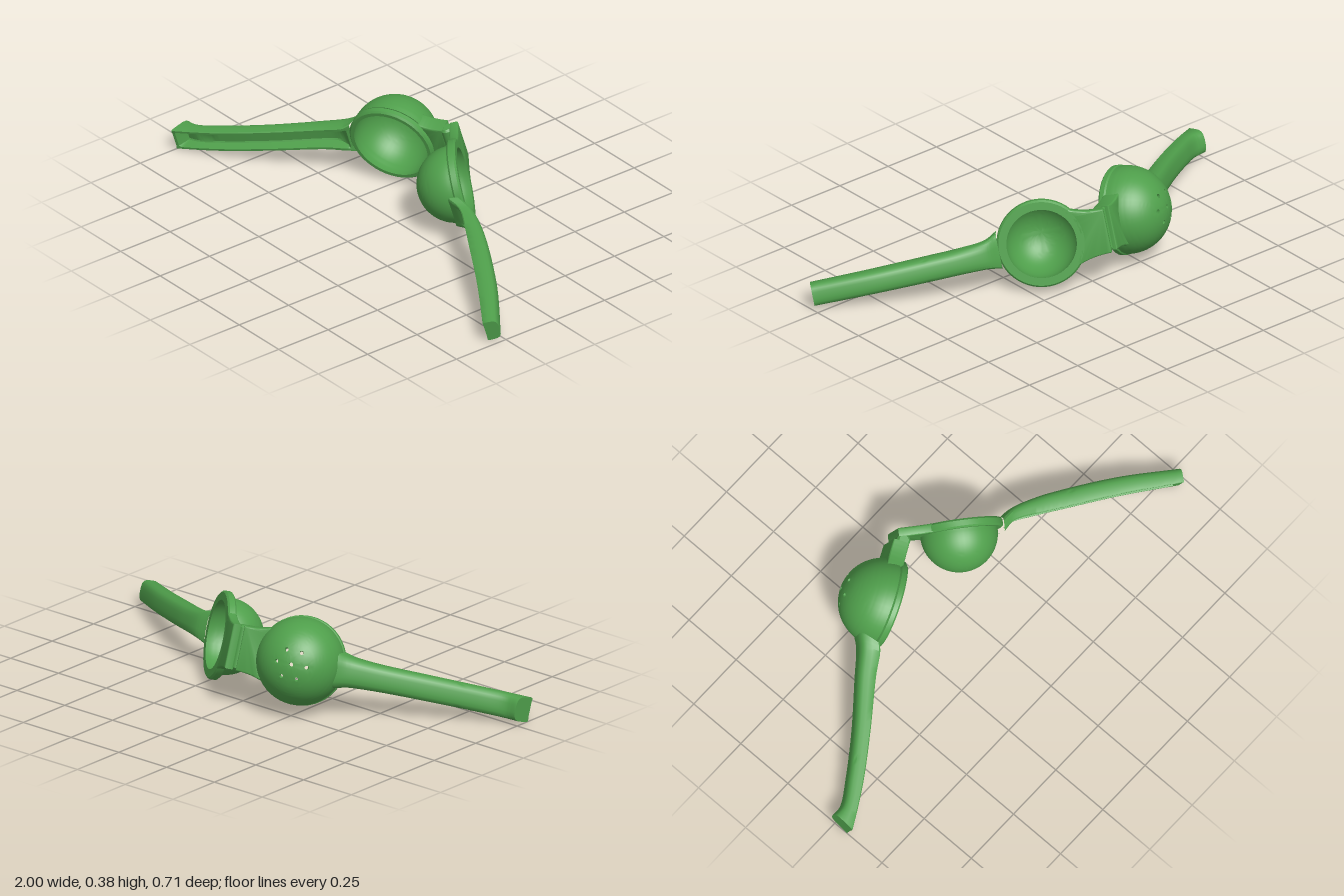
import * as THREE from 'three';
import { mergeGeometries, toCreasedNormals } from 'three/addons/utils/BufferGeometryUtils.js';

const green = new THREE.MeshStandardMaterial({ color: 0x4f9f4b });
green.name = 'green enamel';

function part(name, geometry, parent) {
  const m = new THREE.Mesh(geometry, green);
  m.name = name;
  parent.add(m);
  return m;
}

function surface(positions, index) {
  const g = new THREE.BufferGeometry();
  g.setAttribute('position', new THREE.Float32BufferAttribute(positions, 3));
  g.setIndex(index);
  return g.toNonIndexed();
}

// Double-walled bowl opening towards +z, with a flat lip; 'cap' leaves the pole open
function bowlGeometry(ro, ri, lipR, lipBottom, lipTop, cap) {
  const pts = [];
  const arc = (r, from, to) => {
    for (let i = 0; i <= 24; i++) {
      const a = from + (to - from) * i / 24;
      pts.push(new THREE.Vector2(r * Math.sin(a), -r * Math.cos(a)));
    }
  };
  arc(ro, cap, Math.PI / 2 + Math.asin(lipBottom / ro));
  const b = 0.007;
  for (const [r, y] of [[lipR - b, lipBottom], [lipR, lipBottom + b], [lipR, lipTop - b], [lipR - b, lipTop]])
    pts.push(new THREE.Vector2(r, y));
  arc(ri, Math.PI / 2 + Math.asin(lipTop / ri), cap);
  const g = new THREE.LatheGeometry(pts, 48).rotateX(Math.PI / 2).toNonIndexed();
  g.deleteAttribute('uv');
  g.deleteAttribute('normal');
  return g;
}

// One piece of the dome pole around a round drain hole
function drainCell(boundary, cx, cy, holeR, ro, ri) {
  const pos = [], idx = [], n = boundary.length;
  const rows = [[0, ro], [0.5, ro], [1, ro], [1, ri], [0.5, ri], [0, ri]];
  rows.forEach(([v, radius], k) => boundary.forEach(([bx, by], i) => {
    const d = Math.hypot(bx - cx, by - cy);
    const s = 1 + (holeR / d - 1) * v;
    const x = cx + (bx - cx) * s, y = cy + (by - cy) * s;
    const phi = Math.hypot(x, y) / ro, a = Math.atan2(y, x);
    pos.push(radius * Math.sin(phi) * Math.cos(a), radius * Math.sin(phi) * Math.sin(a), -radius * Math.cos(phi));
    if (k < rows.length - 1) {
      const j = (i + 1) % n, p = k * n + i, q = k * n + j;
      idx.push(p, p + n, q, q, p + n, q + n);
    }
  }));
  return surface(pos, idx);
}

// Centre hole plus a ring of six
function drainCells(r0, r1, ring, holeR, ro, ri) {
  const polar = (r, a) => [r * Math.cos(a), r * Math.sin(a)];
  const centre = [];
  for (let i = 0; i < 48; i++) centre.push(polar(r0, i * Math.PI / 24));
  const cells = [drainCell(centre, 0, 0, holeR, ro, ri)];
  for (let k = 0; k < 6; k++) {
    const a0 = k * Math.PI / 3, w = Math.PI / 6, edge = [];
    for (let i = 0; i < 8; i++) edge.push(polar(r1, a0 - w + w * i / 4));
    for (let i = 0; i < 4; i++) edge.push(polar(r1 + (r0 - r1) * i / 4, a0 + w));
    for (let i = 0; i < 8; i++) edge.push(polar(r0, a0 + w - w * i / 4));
    for (let i = 0; i < 4; i++) edge.push(polar(r0 + (r1 - r0) * i / 4, a0 - w));
    cells.push(drainCell(edge, ...polar(ring, a0), holeR, ro, ri));
  }
  return cells;
}

// Flared plate running from the bowl lip to the hinge
function hingeTab(r, spread, reach, h, z0, z1) {
  const s = new THREE.Shape(), x = r * Math.cos(spread), y = r * Math.sin(spread);
  s.moveTo(x, y);
  s.absarc(0, 0, r, spread, -spread, true);
  s.quadraticCurveTo(0.175, -h, reach, -h);
  s.lineTo(reach, h);
  s.quadraticCurveTo(0.175, h, x, y);
  const b = 0.006;
  const g = new THREE.ExtrudeGeometry(s, {
    depth: z1 - z0 - 2 * b, bevelSize: b, bevelThickness: b, bevelSegments: 3, curveSegments: 14
  });
  return toCreasedNormals(g.translate(0, 0, z0 + b), 0.6);
}

// Channel handle lofted between back and front edges; stations are [backX, backZ, frontX, frontZ, halfHeight]
function handleGeometry(stations, flip) {
  const back = new THREE.CatmullRomCurve3(stations.map(([x, z, , , h]) => new THREE.Vector3(x, h, z)));
  const front = new THREE.CatmullRomCurve3(stations.map(([, , x, z, h]) => new THREE.Vector3(x, h, z)));
  const steps = 48, pos = [], idx = [];
  let n = 0;
  for (let k = 0; k <= steps; k++) {
    const t = k / steps, B = back.getPoint(t), F = front.getPoint(t);
    const open = k >= steps - 1 ? 0 : THREE.MathUtils.smoothstep(t, 0.1, 0.28);
    const floor = 0.98 - 0.58 * open;
    const half = [[0, 0.3], [0.04, 0.62], [0.14, 0.85], [0.32, 0.97], [0.6, 1], [0.93, 1], [1, 0.94],
      [1, 0.76], [floor + 0.06 * open, 0.66], [floor, 0.56]];
    const loop = [...half, ...half.map(([s, y]) => [s, -y]).reverse()];
    n = loop.length;
    loop.forEach(([s, y], i) => {
      pos.push(B.x + (F.x - B.x) * s, B.y * y, B.z + (F.z - B.z) * s);
      if (k < steps) {
        const p = k * n + i, q = k * n + (i + 1) % n;
        idx.push(...(flip ? [p, p + n, q, q, p + n, q + n] : [p, q, p + n, q, q + n, p + n]));
      }
    });
  }
  // flat end of the grip
  const B = back.getPoint(1), F = front.getPoint(1), c = pos.length / 3;
  pos.push((B.x + F.x) / 2, 0, (B.z + F.z) / 2);
  for (let i = 0; i < n; i++) {
    const p = steps * n + i, q = steps * n + (i + 1) % n;
    idx.push(...(flip ? [c, q, p] : [c, p, q]));
  }
  return toCreasedNormals(surface(pos, idx), 0.6);
}

export function createModel() {
  const model = new THREE.Group();
  model.name = 'citrusPress';
  const body = new THREE.Group();
  body.name = 'tiltedBody';
  body.rotation.x = 0.31;
  body.position.set(0, 0.136, 0.0435);
  model.add(body);

  // Perforated half, cup opening to the front
  const cup = new THREE.Group();
  cup.name = 'strainerHalf';
  cup.position.set(-0.24, 0, -0.235);
  cup.rotation.y = 0.467;
  body.add(cup);
  const ro = 0.176, ri = 0.163, capR = 0.096;
  part('strainerCup', toCreasedNormals(mergeGeometries([
    bowlGeometry(ro, ri, 0.179, 0.01, 0.042, capR / ro),
    ...drainCells(0.032, capR, 0.064, 0.0085, ro, ri)
  ]), 0.6), cup);
  part('strainerHingeArm', hingeTab(0.169, 0.65, 0.235, 0.085, -0.045, 0.022), cup);

  // Pressing half, solid dome to the front
  const press = new THREE.Group();
  press.name = 'pressHalf';
  press.position.set(0.18, 0, -0.204);
  press.rotation.y = 2.47;
  body.add(press);
  part('pressDome', toCreasedNormals(bowlGeometry(0.154, 0.145, 0.178, 0.004, 0.04, 0), 0.6), press);
  part('pressHingeTab', hingeTab(0.16, 0.85, 0.26, 0.085, 0.004, 0.04), press);

  // Hinge barrel with rounded ends
  const r = 0.027, hh = 0.09, b = 0.008;
  const barrel = [[0, -hh], [r - b, -hh], [r, b - hh], [r, hh - b], [r - b, hh], [0, hh]]
    .map(([x, y]) => new THREE.Vector2(x, y));
  part('hingeBarrel', toCreasedNormals(new THREE.LatheGeometry(barrel, 24), 0.6), body)
    .position.set(-0.02, 0, -0.35);

  // Handles
  part('strainerHandle', handleGeometry([
    [-0.405, -0.23, -0.385, -0.135, 0.072],
    [-0.44, -0.185, -0.405, -0.11, 0.062],
    [-0.53, -0.11, -0.485, -0.055, 0.054],
    [-0.70, 0.032, -0.65, 0.072, 0.051],
    [-0.85, 0.142, -0.81, 0.187, 0.05],
    [-0.95, 0.204, -0.92, 0.255, 0.05],
    [-1, 0.207, -1, 0.3, 0.05]
  ], true), body);
  part('pressHandle', handleGeometry([
    [0.34, -0.13, 0.3, -0.085, 0.075],
    [0.4, -0.125, 0.365, -0.085, 0.057],
    [0.5, -0.085, 0.465, -0.03, 0.05],
    [0.6, -0.03, 0.565, 0.032, 0.049],
    [0.8, 0.097, 0.765, 0.158, 0.047],
    [1, 0.25, 0.965, 0.297, 0.046]
  ], false), body);

  return model;
}
